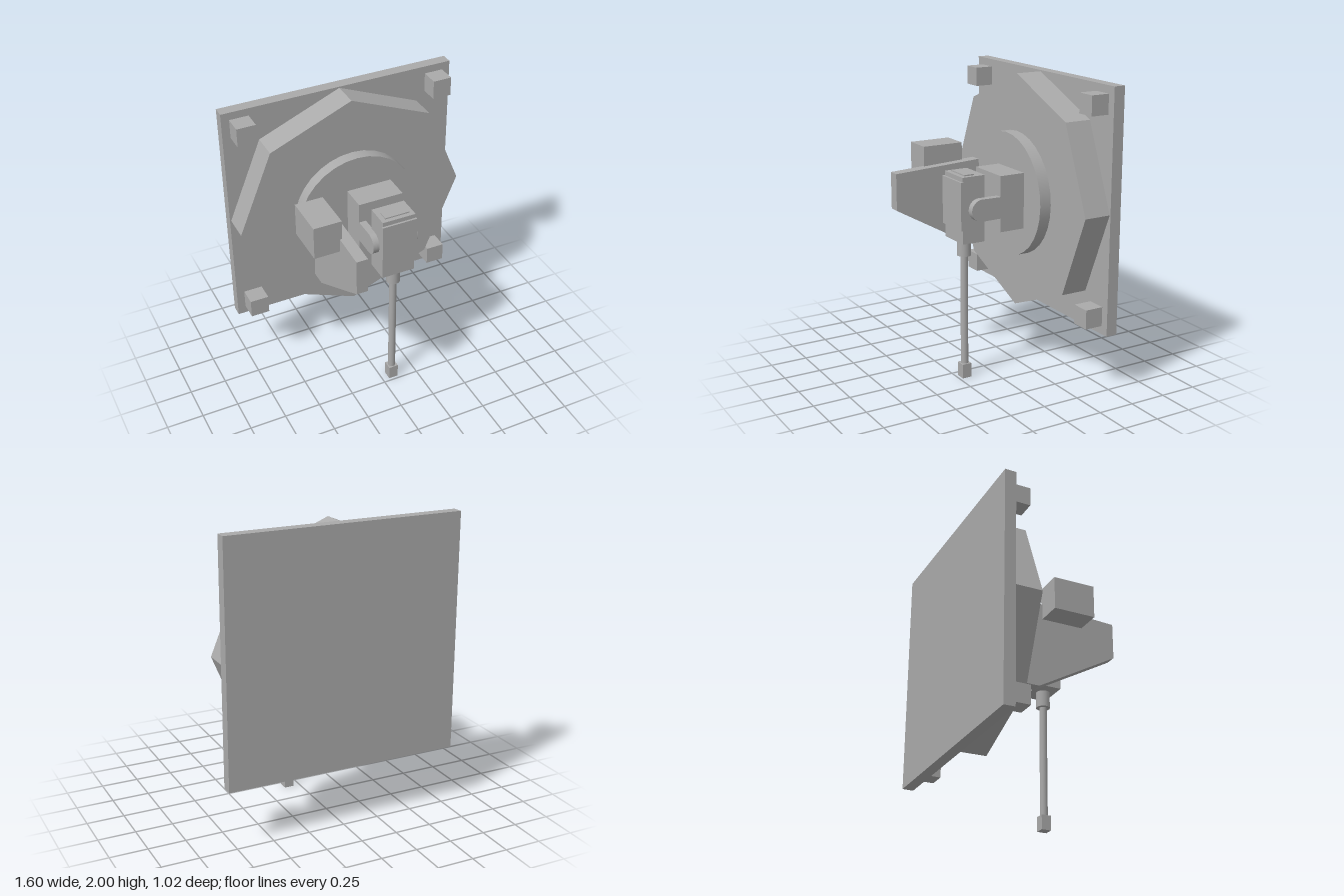
import * as THREE from 'three';

export function createModel() {
  const model = new THREE.Group();
  const grey = new THREE.MeshStandardMaterial({ color: 0xaaaaaa });
  grey.name = 'grey';

  function add(name, geometry, x = 0, y = 0, z = 0) {
    const mesh = new THREE.Mesh(geometry, grey);
    mesh.name = name;
    mesh.position.set(x, y, z);
    model.add(mesh);
    return mesh;
  }
  // Box from its lower and upper limits
  function box(name, x0, x1, y0, y1, z0, z1) {
    return add(name, new THREE.BoxGeometry(x1 - x0, y1 - y0, z1 - z0),
      (x0 + x1) / 2, (y0 + y1) / 2, (z0 + z1) / 2);
  }
  // Flat profile drawn in (z, y), extruded from x0 to x1
  function sideProfile(name, shape, x0, x1) {
    const g = new THREE.ExtrudeGeometry(shape, { depth: x1 - x0, bevelEnabled: false, curveSegments: 16 });
    g.rotateY(-Math.PI / 2);   // shape x becomes +z, depth becomes -x
    return add(name, g, x1, 0, 0);
  }

  // Back plate with corner posts
  box('backPlate', -0.8, 0.8, 0.4, 2, -0.51, -0.433);
  for (const s of [-1, 1]) {
    for (const y of [0.52, 1.885]) {
      add('cornerPost', new THREE.BoxGeometry(0.128, 0.128, 0.125), s * 0.682, y, -0.371);
    }
  }

  // Octagonal slab, one corner pointing up
  const octagon = new THREE.Shape();
  for (let i = 0; i < 8; i++) {
    const a = i * Math.PI / 4;
    octagon[i ? 'lineTo' : 'moveTo'](0.792 * Math.cos(a), 0.792 * Math.sin(a));
  }
  add('octagonSlab', new THREE.ExtrudeGeometry(octagon, { depth: 0.183, bevelEnabled: false }), 0, 1.2, -0.433);

  // Round disc
  add('disc', new THREE.CylinderGeometry(0.415, 0.415, 0.08, 32).rotateX(Math.PI / 2), 0, 1.2, -0.21);

  // Tapered fin with a side box
  const fin = new THREE.Shape([[0.51, 1.36], [-0.11, 1.392], [-0.152, 0.802], [-0.04, 0.802], [0.51, 1.113]]
    .map(([z, y]) => new THREE.Vector2(z, y)));
  sideProfile('fin', fin, -0.332, -0.255);
  box('sideBox', -0.505, -0.316, 1.28, 1.505, -0.015, 0.272);

  // Bracket block with two round-ended arms
  box('bracketBlock', -0.078, 0.234, 1.017, 1.388, -0.162, 0.014);
  const arm = new THREE.Shape();
  arm.moveTo(0.01, 1.11);
  arm.lineTo(0.153, 1.108);
  arm.absarc(0.153, 1.181, 0.073, -Math.PI / 2, Math.PI / 2, false);
  arm.lineTo(0.01, 1.252);
  sideProfile('bracketArm', arm, -0.078, -0.03);
  sideProfile('bracketArm', arm, 0.19, 0.238);

  // Pivoting head with front cover and top pad
  box('head', -0.036, 0.194, 0.963, 1.4, 0.108, 0.27);
  box('headCover', -0.042, 0.2, 1.053, 1.37, 0.265, 0.284);
  box('topPad', -0.005, 0.165, 1.395, 1.408, 0.17, 0.24);

  // Hanging rod
  add('collar', new THREE.CylinderGeometry(0.046, 0.046, 0.115, 20), 0.079, 0.91, 0.196);
  add('rod', new THREE.CylinderGeometry(0.025, 0.025, 0.77, 16), 0.079, 0.475, 0.196);
  box('rodTip', 0.046, 0.112, 0, 0.098, 0.163, 0.229);

  return model;
}
